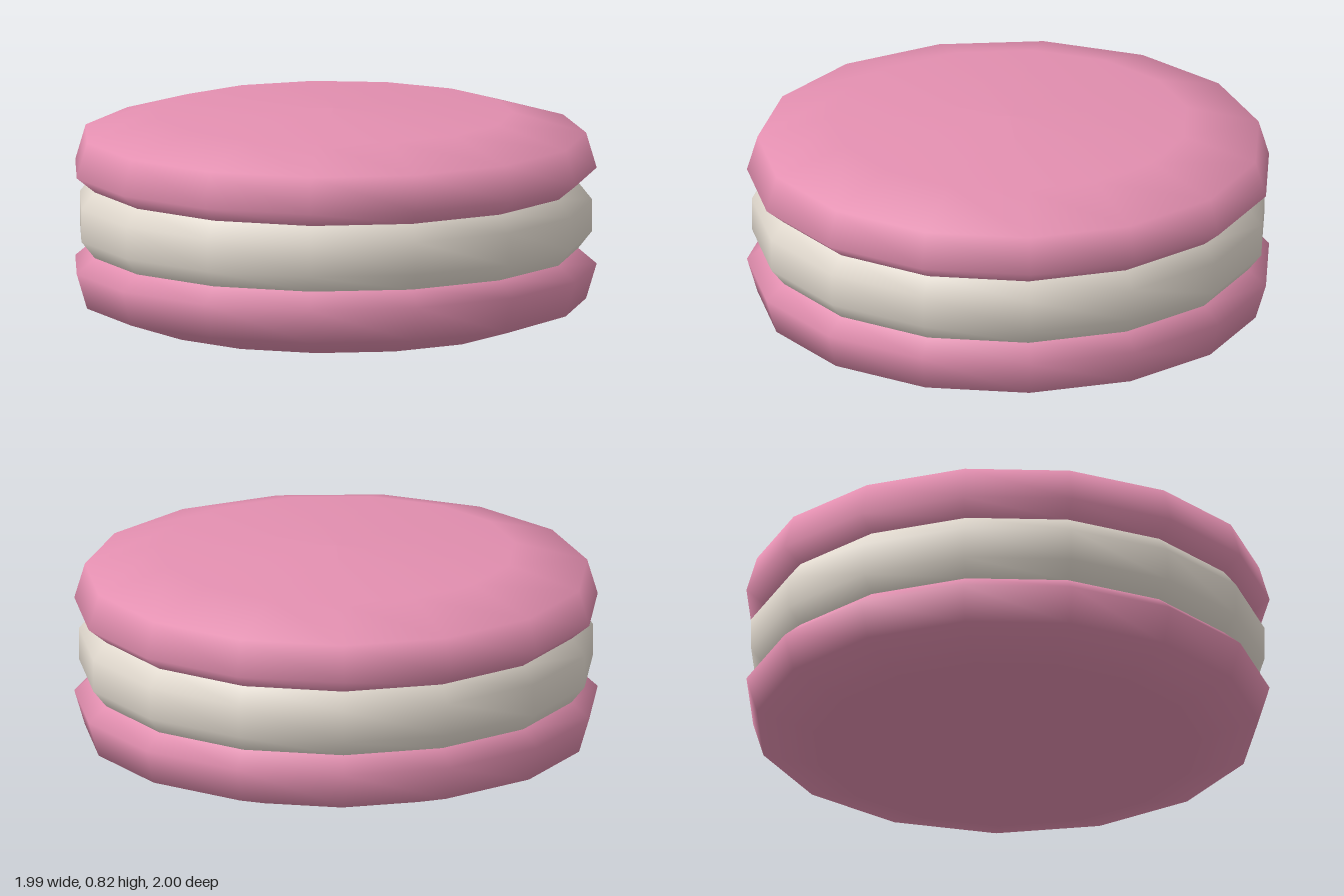
import * as THREE from 'three';

const SIDES = 15;

// Smooth turned solid from [radius, height] pairs, bottom to top
function turned(name, profile, material) {
  const points = profile.map(([r, y]) => new THREE.Vector2(r, y));
  // a corner of the 15-sided outline points along +x
  const geometry = new THREE.LatheGeometry(points, SIDES, Math.PI / 2);
  const mesh = new THREE.Mesh(geometry, material);
  mesh.name = name;
  return mesh;
}

export function createModel() {
  const pink = new THREE.MeshStandardMaterial({ color: 0xe38fb0 });
  pink.name = 'pink biscuit';
  const cream = new THREE.MeshStandardMaterial({ color: 0xe3dbd0 });
  cream.name = 'cream filling';

  const model = new THREE.Group();
  model.name = 'sandwichBiscuit';

  // Flat-based lower shell
  model.add(turned('bottomShell', [
    [0, 0], [0.725, 0.004], [0.965, 0.085], [1.0055, 0.22], [0.935, 0.28],
  ], pink));

  // Filling bulging between the shells
  model.add(turned('filling', [
    [0.935, 0.28], [0.987, 0.345], [0.987, 0.47], [0.935, 0.535],
  ], cream));

  // Slightly domed upper shell
  model.add(turned('topShell', [
    [0.935, 0.535], [1.0055, 0.592], [0.965, 0.728], [0.685, 0.808], [0, 0.825],
  ], pink));

  // An odd-sided outline is lopsided in x, so shift it to centre its bounds
  model.children.forEach((part) => { part.position.x = -0.011; });
  return model;
}
